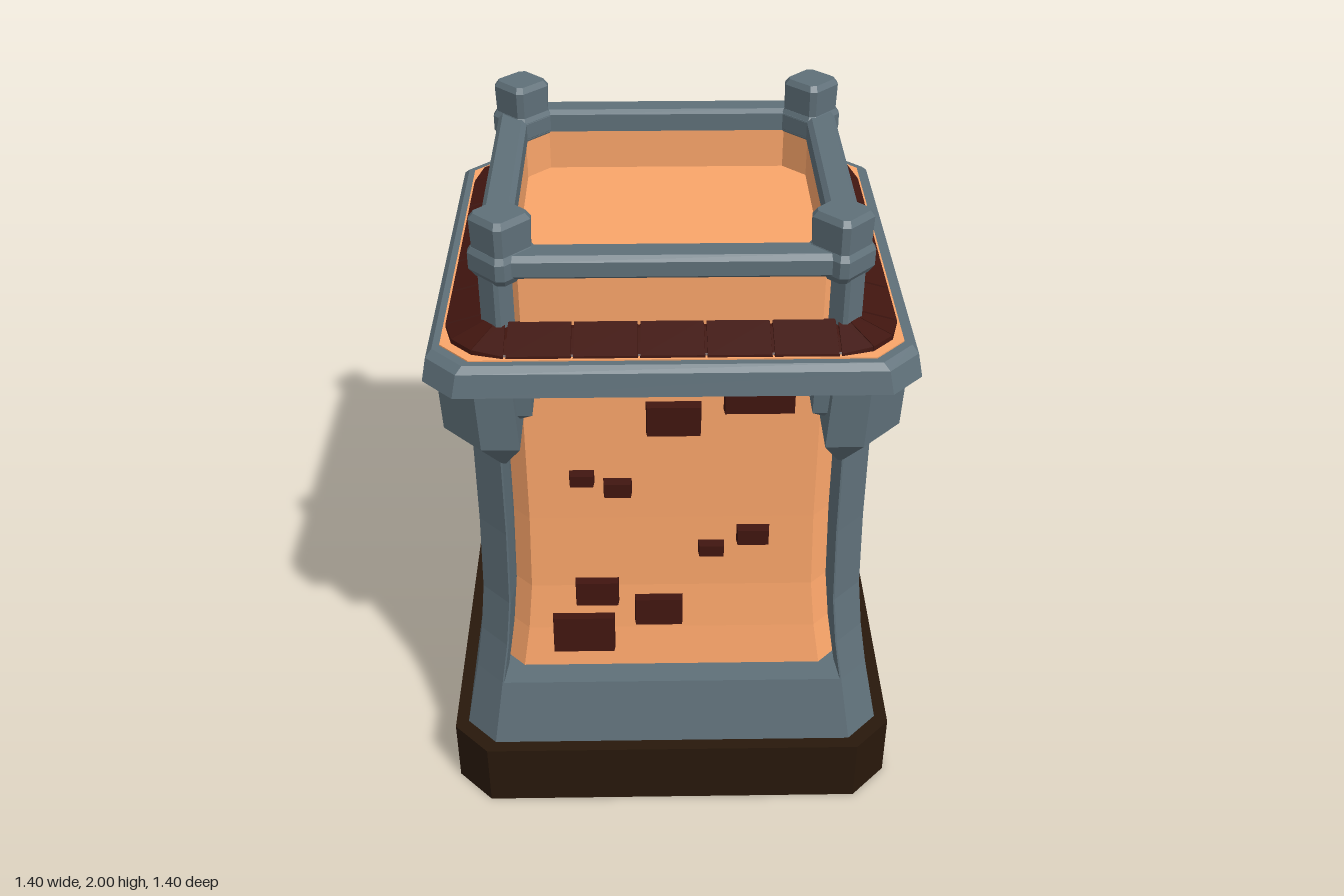
import * as THREE from 'three';

const paint = (color) => new THREE.MeshStandardMaterial({ color, flatShading: true });
const STONE = paint(0x5f7079), PLASTER = paint(0xfaa56a), BASE = paint(0x28180b);
const TILE = paint(0x40150f), FRAME = paint(0x54210f), GLASS = paint(0x7fc0e0);

// Skin a series of rings of [x, y, z] points; closed joins the last ring to the first
function loft(rings, closed = false) {
  const v = [], n = rings[0].length;
  const tri = (a, b, c) => v.push(...a, ...b, ...c);
  const count = closed ? rings.length : rings.length - 1;
  for (let k = 0; k < count; k++) {
    const lo = rings[k], hi = rings[(k + 1) % rings.length];
    for (let i = 0; i < n; i++) {
      const j = (i + 1) % n;
      tri(lo[i], hi[i], lo[j]);
      tri(lo[j], hi[i], hi[j]);
    }
  }
  if (!closed) {
    const a = rings[0], b = rings[rings.length - 1];
    for (let i = 1; i < n - 1; i++) {
      tri(a[0], a[i], a[i + 1]);
      tri(b[0], b[i + 1], b[i]);
    }
  }
  const g = new THREE.BufferGeometry();
  g.setAttribute('position', new THREE.Float32BufferAttribute(v, 3));
  g.computeVertexNormals();
  return g;
}

// Square ring of half-width h with corners cut by c
function oct(h, c, y) {
  const d = h - c;
  return [[h, -d], [h, d], [d, h], [-d, h], [-h, d], [-h, -d], [-d, -h], [d, -h]].map(([x, z]) => [x, y, z]);
}
const octLoft = (profile, closed) => loft(profile.map(([h, c, y]) => oct(h, c, y)), closed);

function add(parent, name, geometry, material) {
  const m = new THREE.Mesh(geometry, material);
  m.name = name;
  parent.add(m);
  return m;
}

// Outer half-width of the corner posts by height; the wall is set back behind them
const PROFILE = [[0.44, 0.618], [0.58, 0.597], [0.74, 0.582], [1.0, 0.576], [1.56, 0.575]];
const INSET = 0.08;
function wallAt(y) {
  for (let i = 1; i < PROFILE.length; i++) {
    const [y0, p0] = PROFILE[i - 1], [y1, p1] = PROFILE[i];
    if (y <= y1) return p0 + (p1 - p0) * (y - y0) / (y1 - y0) - INSET;
  }
  return 0.575 - INSET;
}

// Post cross-section: chamfered outside, slanting back to the wall at both sides
function postRing(p, y) {
  const w = p - INSET - 0.01, a = p - 0.1, b = p - 0.125, c = 0.085;
  return [[w, y, b], [p, y, b + 0.035], [p, y, p - c], [p - c, y, p], [a + 0.01, y, p], [a, y, w], [a, y, b]];
}

// Bracket cross-section: p outer face, c chamfer, a and b inner limits in x and z
const bracketRing = (p, c, a, b, y) => [[p, y, b], [p, y, p - c], [p - c, y, p], [a, y, p], [a, y, b]];

// Square turned 45 degrees with slightly cut points, centred on the corner
function diamond(r, y, mid = 0.457) {
  const k = r * 0.12, s = r - k;
  return [[s, -k], [s, k], [k, s], [-k, s], [-s, k], [-s, -k], [-k, -s], [k, -s]].map(([x, z]) => [mid + x, y, mid + z]);
}

// Roof tile on a footprint of [x, z] points, sloping down away from the parapet
function tile(parent, pts) {
  const cx = pts.reduce((s, p) => s + p[0], 0) / pts.length;
  const cz = pts.reduce((s, p) => s + p[1], 0) / pts.length;
  const ring = (f, top) => pts.map(([x, z]) => {
    const r = Math.max(Math.abs(x), Math.abs(z));
    return [cx + (x - cx) * f, top ? 1.69 - (r - 0.5) * 0.28 : 1.635, cz + (z - cz) * f];
  });
  add(parent, 'roofTile', loft([ring(1, false), ring(0.96, true)]), TILE);
}

// Brick with a slightly smaller front, leaning with the wall
function brick(parent, [u, y, w, h]) {
  const g = new THREE.BoxGeometry(w, h, 0.06);
  const p = g.attributes.position;
  for (let i = 0; i < p.count; i++) {
    if (p.getZ(i) > 0) p.setXY(i, p.getX(i) - Math.sign(p.getX(i)) * 0.006, p.getY(i) - Math.sign(p.getY(i)) * 0.006);
  }
  const m = add(parent, 'brick', g, TILE);
  m.position.set(u, y, wallAt(y));
  m.rotation.x = -Math.atan((wallAt(y - 0.05) - wallAt(y + 0.05)) / 0.1);
}

function rect(w, h, Type) {
  const s = new Type();
  s.moveTo(-w, -h).lineTo(w, -h).lineTo(w, h).lineTo(-w, h).closePath();
  return s;
}

function addWindow(parent) {
  const g = new THREE.Group();
  g.name = 'window';
  g.position.set(0, 1.268, 0.488);
  const shape = rect(0.137, 0.197, THREE.Shape);
  shape.holes.push(rect(0.13, 0.187, THREE.Path));
  add(g, 'windowFrame', new THREE.ExtrudeGeometry(shape, {
    depth: 0.052, bevelEnabled: true, bevelThickness: 0.01, bevelSize: 0.01, bevelSegments: 1,
  }), FRAME);
  add(g, 'windowPane', new THREE.BoxGeometry(0.26, 0.37, 0.04), GLASS).position.z = 0.025;
  parent.add(g);
}

// Bricks per side: [across, height, width, tall]
const FRONT = [[0.25, 1.455, 0.21, 0.14], [0.005, 1.365, 0.165, 0.11], [-0.265, 1.155, 0.08, 0.05],
  [-0.16, 1.12, 0.09, 0.06], [0.12, 0.89, 0.085, 0.05], [0.245, 0.94, 0.105, 0.065],
  [-0.23, 0.725, 0.14, 0.095], [-0.04, 0.655, 0.155, 0.105], [-0.275, 0.57, 0.2, 0.135]];
const RIGHT = [[-0.22, 0.725, 0.14, 0.095], [-0.26, 0.57, 0.21, 0.135], [0.135, 0.895, 0.09, 0.055],
  [0.265, 0.94, 0.11, 0.07], [0.245, 0.857, 0.08, 0.045]];
const BACK = [[-0.24, 1.455, 0.21, 0.14], [-0.21, 1.315, 0.165, 0.1], [-0.01, 1.365, 0.165, 0.11],
  [-0.245, 0.94, 0.09, 0.06], [-0.13, 0.89, 0.09, 0.055], [0.15, 1.12, 0.09, 0.055], [0.275, 1.155, 0.105, 0.065],
  [0.275, 1.07, 0.1, 0.055], [0.03, 0.655, 0.155, 0.105], [0.22, 0.725, 0.14, 0.095], [0.26, 0.57, 0.2, 0.135]];
const LEFT = [[-0.265, 0.94, 0.11, 0.07], [-0.245, 0.857, 0.08, 0.045], [-0.135, 0.895, 0.09, 0.055],
  [0.22, 0.725, 0.14, 0.095], [0.03, 0.655, 0.155, 0.105], [0.26, 0.57, 0.2, 0.135]];

export function createModel() {
  const tower = new THREE.Group();
  tower.name = 'tower';

  // Ground slab, plinth and plaster body
  add(tower, 'groundSlab', octLoft([[0.7, 0.11, 0], [0.7, 0.11, 0.22]]), BASE);
  add(tower, 'plinth', octLoft([[0.662, 0.095, 0.2], [0.66, 0.095, 0.22], [0.618, 0.085, 0.44]]), STONE);
  add(tower, 'wall', octLoft(PROFILE.map(([y, p]) => [p - INSET, 0.07, y])), PLASTER);

  // Overhanging ledge with its deck and the bed under the tiles
  add(tower, 'ledge', octLoft([[0.675, 0.09, 1.552], [0.685, 0.09, 1.558], [0.672, 0.09, 1.625], [0.655, 0.09, 1.643]]), STONE);
  add(tower, 'deck', octLoft([[0.635, 0.085, 1.63], [0.635, 0.085, 1.647]]), PLASTER);
  add(tower, 'tileBed', octLoft([[0.625, 0.13, 1.64], [0.615, 0.13, 1.652], [0.52, 0.09, 1.678]]), TILE);

  // Parapet wall with sunken floor, and its stone rail
  add(tower, 'parapet', octLoft([[0.505, 0.09, 1.6], [0.505, 0.09, 1.84], [0.445, 0.07, 1.84], [0.445, 0.07, 1.705]]), PLASTER);
  add(tower, 'rail', octLoft([[0.52, 0.09, 1.832], [0.532, 0.09, 1.842], [0.532, 0.09, 1.885], [0.518, 0.09, 1.9],
    [0.455, 0.07, 1.9], [0.44, 0.07, 1.888], [0.44, 0.07, 1.832]], true), STONE);

  // Corners, mirrored four ways
  for (const sx of [1, -1]) for (const sz of [1, -1]) {
    const corner = new THREE.Group();
    corner.name = 'corner';
    corner.scale.set(sx, 1, sz);
    tower.add(corner);
    add(corner, 'cornerPost', loft(PROFILE.map(([y, p]) => postRing(p, y))), STONE);
    add(corner, 'bracket', loft([
      bracketRing(0.572, 0.085, 0.475, 0.455, 1.26),
      bracketRing(0.648, 0.115, 0.425, 0.42, 1.36),
      bracketRing(0.655, 0.115, 0.435, 0.425, 1.556),
    ]), STONE);
    // Small side blocks of the bracket, on both faces
    for (const swap of [false, true]) {
      const ring = (x0, z, y) => {
        const pts = [[0.46, y, 0.46], [0.46, y, z], [x0, y, z], [x0, y, 0.46]];
        return swap ? pts.map(([x, h, d]) => [d, h, x]).reverse() : pts;
      };
      add(corner, 'bracketSide', loft([ring(0.425, 0.565, 1.41), ring(0.388, 0.61, 1.45), ring(0.388, 0.62, 1.556)]), STONE);
    }
    add(corner, 'finialShaft', loft([diamond(0.058, 1.62, 0.473), diamond(0.058, 1.84, 0.473)]), STONE);
    add(corner, 'finialCollar', loft([diamond(0.085, 1.815), diamond(0.105, 1.838), diamond(0.105, 1.885), diamond(0.092, 1.902)]), STONE);
    add(corner, 'finialCap', loft([diamond(0.09, 1.88), diamond(0.094, 1.983), diamond(0.079, 2)]), STONE);

    // Fanned tiles around the corner
    const outer = [[0.63, 0.455], [0.605, 0.545], [0.545, 0.605], [0.455, 0.63]];
    const inner = [[0.5, 0.455], [0.485, 0.47], [0.47, 0.485], [0.455, 0.5]];
    for (let i = 0; i < 3; i++) tile(corner, [outer[i], outer[i + 1], inner[i + 1], inner[i]]);
  }

  // Tiles, bricks and windows on each side
  [['front', FRONT], ['right', RIGHT], ['back', BACK], ['left', LEFT]].forEach(([name, bricks], i) => {
    const side = new THREE.Group();
    side.name = name + 'Side';
    side.rotation.y = i * Math.PI / 2;
    tower.add(side);
    for (let k = 0; k < 5; k++) {
      const u = (k - 2) * 0.181;
      tile(side, [[u + 0.09, 0.5], [u + 0.09, 0.63], [u - 0.09, 0.63], [u - 0.09, 0.5]]);
    }
    bricks.forEach((b) => brick(side, b));
    if (i % 2) addWindow(side);
  });
  return tower;
}
